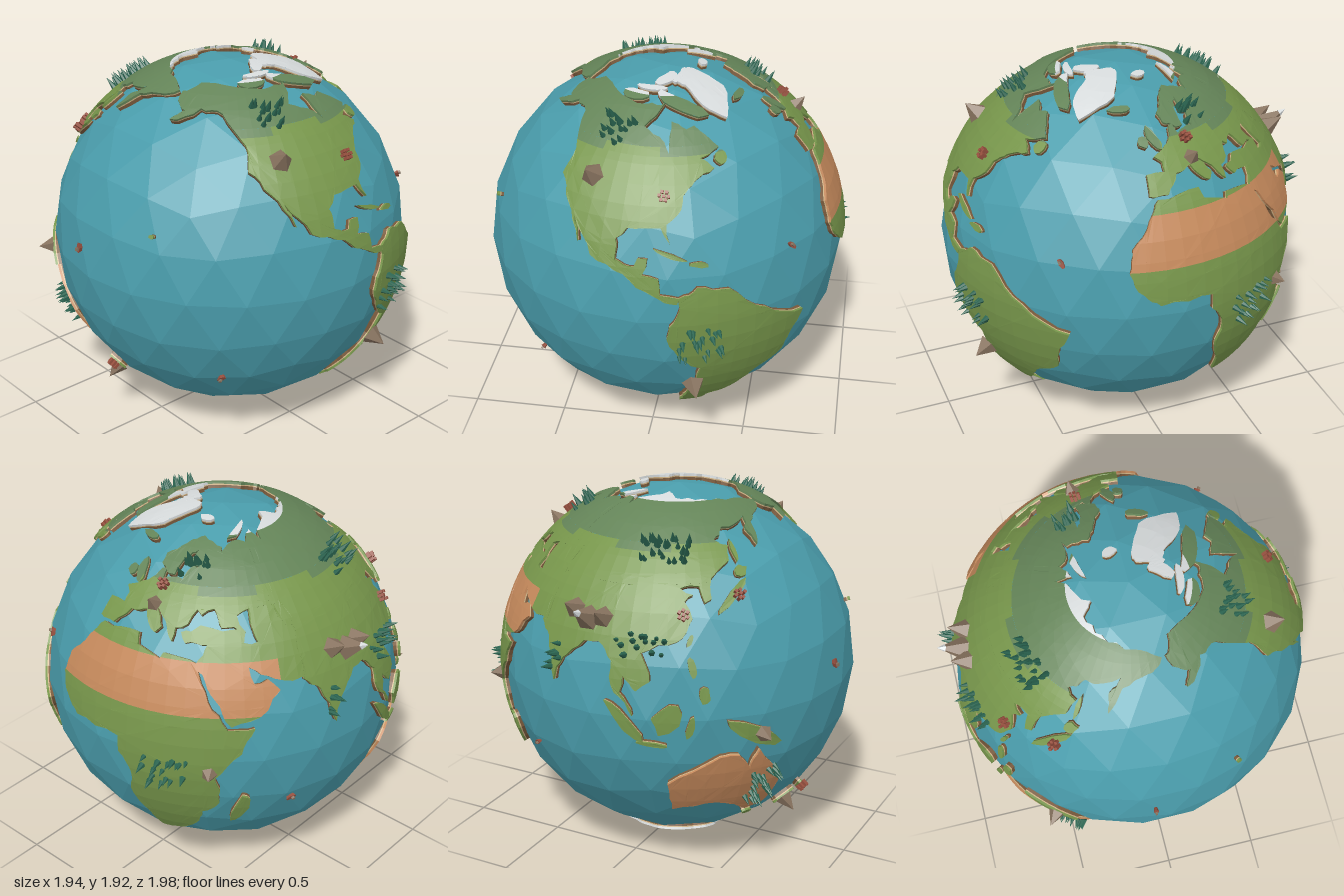
import * as THREE from 'three';

const OCEAN_R = 0.942, LAND_R = 0.965, FOOT_R = 0.915, DEG = Math.PI / 180;
const mat = (name, color) => Object.assign(new THREE.MeshStandardMaterial({ color }), { name });
const M = {
  ocean: mat('ocean blue', 0x4a9dac), green: mat('grass green', 0x77964b), tundra: mat('tundra green', 0x648458),
  sand: mat('desert sand', 0xc68a5c), ice: mat('ice white', 0xd6dadb), cliff: mat('cliff brown', 0x7a5a3c),
  strata: mat('strata tan', 0xcdb184), tree: mat('forest green', 0x2a6450), rock: mat('rock brown', 0x88735f),
  brick: mat('brick red', 0x97503f),
};

// Main coast corners as longitude, latitude; inland borders overlap
const LAND = {
  northAmerica: [-167,66,-157,71,-128,70,-96,68,-82,69,-94,60,-82,55,-80,51.5,-78,62,-70,59,-65,60,-56,52,-66,49.5,
    -61,46,-70,43,-75,39,-76,35,-81,31,-80,25.5,-83,30,-94,29.5,-97.5,26,-97,20,-91,18.5,-90,21,-87,21,-88.5,16,
    -83.5,15,-83,10,-77.5,9,-78,7.3,-85,10,-94,16,-105,20,-113,30,-110,23,-117,33,-124,40,-124,48,-135,59,
    -148,60.5,-163,55,-157,59,-165,62],
  southAmerica: [-77.5,9,-72,12,-62,10.5,-50,1,-35,-6,-39,-14,-40,-21,-48,-26,-54,-34,-58,-38,-65,-41,-66,-48,
    -69,-51,-66,-55,-72,-53,-75,-48,-73.5,-37,-70.3,-18.5,-76,-14,-81,-5,-78,3],
  africa: [-6,35.8,10,37,11,33.5,20,31,21,33,33,31,37,20,43,11.5,51,11.8,47,4,39,-5,40.5,-15,35,-20,32.5,-28,25,-34,
    18.5,-34.5,12,-17,13,-8,9,-1,9,4.5,-8,4.5,-13,8.5,-17,15,-16,22,-10,30],
  europe: [-9,37,-9,43.3,-1.5,43.5,-1.5,46.5,-4.5,48.4,4,52,8,57,10.5,57.5,11,54,21,55,24,59.5,30,60,22,61,25,65.5,
    18,62,16,56,12,56,6,58.5,5,62,14,67,26,71,41,67,40,65,45,68,64,69,64,47,53,47,47,45,50,40,41,41.5,38,47,33,45,
    31,46.5,28,42,23.5,40.5,23,36.5,19.5,41.5,13.5,45.5,18,40,16,38,10,44,3,42.5,-2,36.8],
  middleEast: [26,39.5,33,42,50,40.5,49,37,54,37,52,44,53,49,70,49,70,24.5,58,26,50,30,51.5,25,56,26,59.5,22.5,55,17,
    44,12.8,39,21,35,28,32.5,29.5,32.5,31,36,36.5,28,36.5],
  northAsia: [60,69,68,73,73,68,76,72,104,77.7,114,73.5,140,72.5,171,70,190,66,178,62.5,163,59,157,51,156,57,162,62,
    142,59,135,54.5,141,52,139,47,128,40.5,66,40,62,47],
  southAsia: [68,43,130,43,129,35.5,126.5,34.5,125,39.5,118,39,122.5,37,119.5,35,122,30,117,23.5,106,20,109,12,105,9,
    100.8,13.3,100,8,104,1.5,98.5,8,97,17,92,22,87,21.5,80,15,77.5,8,73,20,68,24],
  australia: [114,-22,130,-12,136,-12,140,-17.5,142.5,-11,153,-26,150,-37.5,144,-38.5,138,-34,131,-31.5,115,-34.5],
  antarctica: [-180,-78,-150,-77,-102,-73,-75,-72,-57,-63.5,-62,-76,-30,-77,-10,-70.5,50,-67,72,-70,110,-66.5,150,-68,
    171,-72,165,-78,180,-78,180,-90,-180,-90],
  greenland: [-73,78.5,-33,83.5,-18,81,-22,70,-43,60,-53,66,-58,75.5],
};
// Islands as rough ovals: longitude, latitude, half length, half width, tilt
const ISLANDS = [
  [-72,68.5,8,2.5,-40], [-110,71,4,2.2,0], [-78,80,4,2.2,50], [-98,75,5,1.2,0], [-56.5,49,2.2,1.6,60], [-80,22,5,0.7,-20],
  [-71,19,2.8,0.8,-5], [-19,65,3,1.4,0], [-2.5,54,4.2,1.5,105], [-8,53.3,1.8,1.4,90], [47,-19,7,2,72], [101.5,-0.5,8,1.7,-48],
  [110,-7.3,4.8,0.7,-8], [114,1,5,3.5,50], [121,-2,3.5,1.2,75], [140.5,-5.3,10,2.6,-25], [121.5,16,3,1.2,100],
  [125,8,2.2,1.6,90], [121,23.7,1.7,0.7,70], [137,36,6.8,1.3,42], [142.8,43.4,2,1.6,20], [143,50,4,0.7,90],
  [176,-38.8,3.2,1.3,-50], [170.5,-44,4.2,1.2,50], [146.6,-42,1.6,1.4,0], [58,74,5,1,50], [17,78.7,2.2,1.5,0],
  [-155.5,19.7,0.8,0.7,0],
];

// Seeded random numbers
let seed = 7;
const rnd = () => (seed = (seed * 16807) % 2147483647) / 2147483647;

const onGlobe = (lon, lat, r) => new THREE.Vector3(
  r * Math.cos(lat * DEG) * Math.cos(lon * DEG), r * Math.sin(lat * DEG), -r * Math.cos(lat * DEG) * Math.sin(lon * DEG));
const flat = g => { const f = g.index ? g.toNonIndexed() : g; f.computeVertexNormals(); return f; };

// Rough coast: every long stretch is split and its middle pushed in or out
function coastline(list) {
  let pts = [];
  for (let i = 0; i < list.length; i += 2) pts.push(new THREE.Vector2(list[i], list[i + 1]));
  for (let pass = 0; pass < 2; pass++) {
    pts = pts.flatMap((p, i) => {
      const q = pts[(i + 1) % pts.length], d = q.clone().sub(p), len = d.length();
      if (len < 3 || (Math.abs(p.x) === 180 && Math.abs(q.x) === 180)) return [p];
      const push = (rnd() - 0.5) * Math.min(0.22 * len, 2) / len;
      return [p, p.clone().addScaledVector(d, 0.5).add(new THREE.Vector2(-d.y * push, d.x * push))];
    });
  }
  return pts;
}

function island([lon, lat, a, b, tilt]) {
  return Array.from({ length: 9 }, (_, i) => {
    const t = i / 9 * 2 * Math.PI, k = 0.8 + 0.4 * rnd();
    const p = new THREE.Vector2(a * k * Math.cos(t), b * k * Math.sin(t)).rotateAround(new THREE.Vector2(), tilt * DEG);
    return new THREE.Vector2(lon + p.x / Math.cos(lat * DEG), lat + p.y);
  });
}

// Climate zone of a point of land
function zoneAt(lon, lat) {
  if (lat > 71.5) return 'ice';
  if (lat > 52 + 1.5 * Math.sign(Math.sin(Math.floor(lon / 3) * 12.9))) return 'tundra';
  return lat > 15.5 && lat < 31.5 && lon > -20 && lon < 63 ? 'sand' : 'green';
}

// Cuts a convex polygon down to lo..hi along one axis
function clip(poly, axis, lo, hi) {
  for (const [limit, s] of [[lo, 1], [hi, -1]]) {
    const out = [];
    poly.forEach((p, i) => {
      const q = poly[(i + 1) % poly.length], dp = s * (p[axis] - limit), dq = s * (q[axis] - limit);
      if (dp >= 0) out.push(p);
      if (dp * dq < 0) out.push(p.map((v, k) => v + (q[k] - v) * dp / (dp - dq)));
    });
    poly = out;
  }
  return poly;
}

const LATS = [15.5, 31.5, 50.5, 53.5, 71.5];
for (let l = -90; l <= 90; l += 6) if (!LATS.some(v => Math.abs(v - l) < 2)) LATS.push(l);
LATS.sort((a, b) => a - b);

// Raised land: curved top cut into cells, and layered cliffs along the coast
function addLand(pts, bucket, fixedZone) {
  if (THREE.ShapeUtils.isClockWise(pts)) pts.reverse();
  const push = (zone, ...vs) => vs.forEach(v => bucket[zone].push(v.x, v.y, v.z));
  for (const f of THREE.ShapeUtils.triangulateShape(pts, [])) {
    const tri = f.map(i => [pts[i].x, pts[i].y]), [a, b, c] = tri;
    if ((b[0] - a[0]) * (c[1] - a[1]) < (b[1] - a[1]) * (c[0] - a[0])) tri.reverse();
    for (let k = 0; k < LATS.length - 1; k++) {
      const row = clip(tri, 1, LATS[k], LATS[k + 1]);
      if (row.length < 3) continue;
      const xs = row.map(p => p[0]), step = LATS[k] === 50.5 ? 3 : 6;
      for (let lon = Math.floor(Math.min(...xs) / step) * step; lon < Math.max(...xs); lon += step) {
        const v = clip(row, 0, lon, lon + step).map(p => onGlobe(p[0], p[1], LAND_R));
        const zone = fixedZone || zoneAt(lon + step / 2, (LATS[k] + LATS[k + 1]) / 2);
        for (let i = 1; i < v.length - 1; i++) push(zone, v[0], v[i], v[i + 1]);
      }
    }
  }
  pts.forEach((p, i) => {
    const q = pts[(i + 1) % pts.length];
    if (p.y === -90 || q.y === -90) return;
    const n = Math.ceil(p.distanceTo(q) / 4);
    for (let s = 0; s < n; s++) {
      const a = p.clone().lerp(q, s / n), b = p.clone().lerp(q, (s + 1) / n);
      const zone = fixedZone || zoneAt((a.x + b.x) / 2, (a.y + b.y) / 2);
      for (const [name, r0, r1] of [['cliff', FOOT_R, 0.947], ['strata', 0.947, 0.953], [zone, 0.953, LAND_R]]) {
        const [A, B, C, D] = [onGlobe(a.x, a.y, r0), onGlobe(b.x, b.y, r0), onGlobe(b.x, b.y, r1), onGlobe(a.x, a.y, r1)];
        push(name, A, B, C, A, C, D);
      }
    }
  });
}

export function createModel() {
  const root = new THREE.Group(), globe = new THREE.Group();
  root.name = 'lowPolyGlobe';
  globe.name = 'globe';
  globe.position.y = LAND_R;
  root.add(globe);
  const add = (name, geo, material, parent = globe) => {
    const m = new THREE.Mesh(geo, material);
    m.name = name;
    parent.add(m);
    return m;
  };
  const group = name => { const g = new THREE.Group(); g.name = name; globe.add(g); return g; };
  const place = (o, lon, lat, r = LAND_R - 0.003) => {
    o.position.copy(onGlobe(lon, lat, r));
    o.quaternion.setFromUnitVectors(new THREE.Vector3(0, 1, 0), o.position.clone().normalize());
    return o;
  };
  const cone = (r, h, sides) => flat(new THREE.ConeGeometry(r, h, sides).translate(0, h / 2, 0));

  // Faceted sea, turned so a corner sits at each pole
  add('ocean', flat(new THREE.IcosahedronGeometry(OCEAN_R, 3).rotateZ(-Math.atan(2 / (1 + Math.sqrt(5))))), M.ocean);

  // Continents and islands, gathered by colour
  const bucket = { green: [], tundra: [], sand: [], ice: [], cliff: [], strata: [] };
  const fixed = { australia: 'sand', antarctica: 'ice', greenland: 'ice' };
  for (const [name, list] of Object.entries(LAND)) addLand(coastline(list), bucket, fixed[name]);
  ISLANDS.forEach(oval => addLand(island(oval), bucket));
  for (const [key, data] of Object.entries(bucket)) {
    const g = new THREE.BufferGeometry();
    g.setAttribute('position', new THREE.Float32BufferAttribute(data, 3));
    g.computeVertexNormals();
    add(key + 'Land', g, M[key]);
  }

  // Mountains: longitude, latitude, radius, height
  const peaks = group('mountains');
  for (const [lon, lat, r, h] of [[-111, 42.5, 0.06, 0.09], [12, 46, 0.042, 0.07], [-72, -26.5, 0.06, 0.095],
    [37.5, -3, 0.042, 0.06], [87, 28, 0.065, 0.145], [81, 30, 0.055, 0.1], [92, 29, 0.055, 0.1],
    [143, -5.5, 0.045, 0.08], [170.5, -43.5, 0.05, 0.09]])
    place(add('mountain', cone(r, h, 5), M.rock, peaks), lon, lat);
  place(add('snowCap', cone(0.02, 0.042, 5), M.ice, peaks), 87, 28, 1.07);

  // Forests: longitude range, latitude range, number of trees
  const treeGeo = cone(0.016, 0.065, 6);
  for (const [w, e, s, n, count] of [[-118, -99, 53, 62, 16], [-78, -64, -13, -2, 18], [17, 31, -9, 1, 16],
    [100, 123, 47, 55, 26], [98, 114, 19, 27, 14], [75, 79, 11, 20, 7], [141, 151, -34, -18, 26], [18, 34, 56, 63, 12]]) {
    const forest = group('forest');
    for (let i = 0; i < count; i++)
      place(add('tree', treeGeo, M.tree, forest), w + (e - w) * (i + rnd()) / count, s + (n - s) * rnd())
        .scale.setScalar(0.75 + 0.4 * rnd());
  }

  // Towns of small brick blocks
  for (const [lon, lat] of [[-82, 39], [13, 52], [139, 36], [119, 31], [175.5, -38]]) {
    const town = place(group('town'), lon, lat);
    for (let i = 0; i < 7; i++) {
      const h = 0.02 + 0.02 * rnd(), a = i * Math.PI / 3, d = i ? 0.022 : 0;
      add('house', new THREE.BoxGeometry(0.015, h, 0.015), M.brick, town).position.set(d * Math.cos(a), h / 2, d * Math.sin(a));
    }
  }

  // Ships at sea
  const hull = flat(new THREE.CylinderGeometry(0.03, 0.02, 0.02, 6).scale(1, 1, 0.45));
  for (const [lon, lat] of [[-134, -30], [-38, 17], [64, -18], [175, 8]]) {
    const ship = place(group('ship'), lon, lat, OCEAN_R);
    add('hull', hull, M.brick, ship);
    add('cabin', new THREE.BoxGeometry(0.016, 0.014, 0.012), M.rock, ship).position.set(-0.008, 0.016, 0);
  }
  return root;
}
